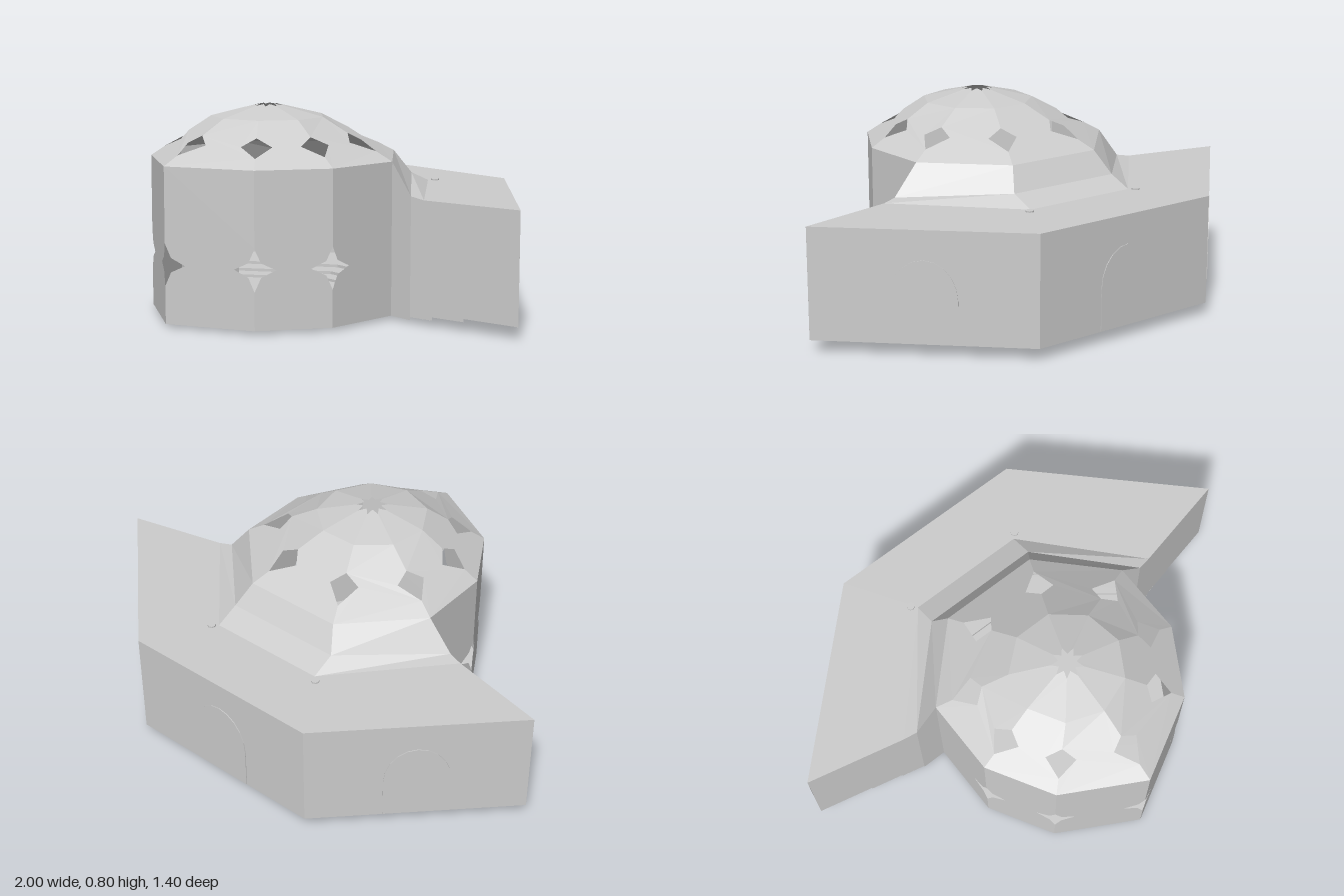
import * as THREE from 'three';
import { mergeGeometries } from 'three/addons/utils/BufferGeometryUtils.js';

const V = (x, y, z) => new THREE.Vector3(x, y, z);
const mirror = (p) => V(-p.x, p.y, p.z);

// Flat polygon from a loop of points, counter-clockwise seen from outside
function face(loop) {
  const n = V(0, 0, 0);
  loop.forEach((p, i) => n.add(p.clone().cross(loop[(i + 1) % loop.length])));
  n.normalize();
  const u = V(0, 1, 0).cross(n);
  if (u.length() < 0.01) u.set(1, 0, 0);
  u.addScaledVector(n, -u.dot(n)).normalize();
  const v = n.clone().cross(u);
  const flat = loop.map((p) => new THREE.Vector2(p.dot(u), p.dot(v)));
  const pts = THREE.ShapeUtils.triangulateShape(flat, []).flat().map((i) => loop[i]);
  const g = new THREE.BufferGeometry().setFromPoints(pts);
  g.computeVertexNormals();
  return g;
}

// Complete a right-hand path [[x, y, z], ...] with its mirrored left half
const around = (half) => {
  const right = half.map((p) => V(...p));
  return [...right, ...right.map(mirror).reverse()];
};

// Strip of quads between two paths
function band(outer, inner) {
  const faces = [];
  for (let i = 0; i < outer.length - 1; i++) {
    faces.push(face([outer[i], outer[i + 1], inner[i + 1], inner[i]]));
  }
  return faces;
}

const FLOOR = 0.012, ROOF = 0.47, EAVES = 0.6, WING_FLOOR = 0.047;

// Nine-cornered plan of the domed hall, starting at the front tip
const right = [[0.31, 0.53], [0.455, 0.28], [0.455, -0.02], [0.2, -0.28]];
const plan = [[0, 0.7], ...right, ...right.map(([x, z]) => [-x, z]).reverse()];
const at = (i, y) => V(plan[i % 9][0], y, plan[i % 9][1]);
const ring = (i, r, y) => {
  const a = (i * Math.PI * 2) / 9;
  return V(Math.sin(a) * r, y, 0.2 + Math.cos(a) * r);
};

// Half of a four-pointed star, cut into a wall beside its corner
const halfStar = [[0, 0.155], [0.024, 0.208], [0.08, 0.235], [0.024, 0.262], [0, 0.315]];
function hallWall(i) {
  const a = at(i, 0), b = at(i + 1, 0);
  const dir = b.clone().sub(a).normalize();
  const cut = (corner, sign) => halfStar.map(([d, y]) =>
    V(corner.x + dir.x * d * sign, y, corner.z + dir.z * d * sign));
  const hasStar = (k) => [0, 1, 2, 7, 8].includes(k % 9);
  return face([
    at(i, FLOOR), at(i + 1, FLOOR),
    ...(hasStar(i + 1) ? cut(b, -1) : []),
    at(i + 1, EAVES), at(i, EAVES),
    ...(hasStar(i) ? cut(a, 1).reverse() : []),
  ]);
}

// Dome panel with half a diamond window on each rib
function domePanel(i) {
  const a = at(i, EAVES), b = at(i + 1, EAVES);
  const c = ring(i + 1, 0.22, 0.755), d = ring(i, 0.22, 0.755);
  const left = (t) => a.clone().lerp(d, t), rightRib = (t) => b.clone().lerp(c, t);
  const l = left(0.45), r = rightRib(0.45), k = 0.06 / l.distanceTo(r);
  return face([
    a, b, rightRib(0.23), r.clone().lerp(l, k), rightRib(0.64), c,
    d, left(0.64), l.clone().lerp(r, k), left(0.23),
  ]);
}

// Cap panel leaving a star-shaped opening at the crown
const capPanel = (i) => face([
  ring(i, 0.22, 0.755), ring(i + 1, 0.22, 0.755),
  ring(i + 1, 0.062, 0.794), ring(i + 0.5, 0.035, 0.8), ring(i, 0.062, 0.794),
]);

export function createModel() {
  const group = new THREE.Group();
  const stone = new THREE.MeshStandardMaterial({
    color: 0xcccccc, flatShading: true, side: THREE.DoubleSide,
  });
  stone.name = 'pale stone';
  const add = (name, geometry) => {
    const mesh = new THREE.Mesh(Array.isArray(geometry) ? mergeGeometries(geometry) : geometry, stone);
    mesh.name = name;
    group.add(mesh);
    return mesh;
  };
  const nine = [...Array(9).keys()];

  add('hallWalls', [0, 1, 2, 6, 7, 8].map(hallWall));
  add('dome', nine.map(domePanel));
  add('domeCap', nine.map(capPanel));

  // Sloping skirt from the dome down to the flat roof
  const eaves = around([[0.455, EAVES, -0.02], [0.2, EAVES, -0.28]]);
  const skirt = around([[0.555, 0.48, -0.02], [0.24, 0.51, -0.34]]);
  const foot = around([[0.61, ROOF, -0.032], [0.24, ROOF, -0.435]]);
  const edge = (y) => around([[1, y, -0.12], [0.41, y, -0.7]]);
  add('domeSkirt', [...band(skirt, eaves), ...band(foot, skirt)]);
  add('wingRoof', band(edge(ROOF), foot));
  add('wingBackWalls', band(edge(WING_FLOOR), edge(ROOF)));

  // Front walls of the wings, with a stepped lower edge
  const shoulder = [[0.455, FLOOR], [0.555, FLOOR], [0.555, 0.48], [0.455, EAVES]]
    .map(([x, y]) => V(x, y, -0.02));
  const wing = [
    [0.555, 0.023], [0.65, 0.023], [0.65, 0.035], [0.78, 0.035], [0.78, WING_FLOOR],
    [1, WING_FLOOR], [1, ROOF], [0.61, ROOF], [0.555, 0.48],
  ].map(([x, y]) => V(x, y, -0.02 - (x - 0.555) * 0.225));
  add('wingFrontWalls', [shoulder, wing].flatMap((loop) =>
    [face(loop), face(loop.map(mirror).reverse())]));

  // Hall floor and the steps rising to the wings
  const hallFloor = [
    ...plan.slice(0, 4), [0.555, -0.02], plan[4], plan[5], [-0.555, -0.02], ...plan.slice(6),
  ].map(([x, z]) => V(x, FLOOR, z));
  add('hallFloor', face(hallFloor.reverse()));
  const lines = [
    [[0.555, -0.02], [0.2, -0.28]], [[0.65, -0.041], [0.245, -0.35]],
    [[0.78, -0.071], [0.29, -0.43]], [[1, -0.12], [0.41, -0.7]],
  ];
  const levels = [FLOOR, 0.023, 0.035, WING_FLOOR];
  const line = (i, y) => around(lines[i].map(([x, z]) => [x, y, z]));
  const steps = [];
  for (let i = 0; i < 3; i++) {
    const y = levels[i + 1];
    steps.push(...band(line(i, levels[i]), line(i, y)));
    steps.push(...band(line(i, y), line(i + 1, y)));
  }
  add('floorSteps', steps);

  // Round basin under the hall floor
  add('basin', new THREE.CylinderGeometry(0.187, 0.187, FLOOR, 14)).position.set(0, FLOOR / 2, 0.18);

  // Arched panels in the three back walls
  const arch = new THREE.Shape();
  arch.moveTo(-0.125, 0);
  arch.lineTo(0.125, 0);
  arch.lineTo(0.125, 0.16);
  arch.absellipse(0, 0.16, 0.125, 0.15, 0, Math.PI, false);
  const archGeometry = new THREE.ExtrudeGeometry(arch, { depth: 0.003, bevelEnabled: false, curveSegments: 5 });
  for (const [x, z, nx, nz] of [[0, -0.7, 0, -1], [0.705, -0.41, 0.58, -0.59], [-0.705, -0.41, -0.58, -0.59]]) {
    const panel = add('archPanel', archGeometry);
    panel.position.set(x, 0.05, z);
    panel.rotation.y = Math.atan2(nx, nz);
  }

  // Small roof lights
  for (const x of [-0.26, 0.26]) {
    add('roofLight', new THREE.CylinderGeometry(0.016, 0.016, 0.008, 8)).position.set(x, ROOF + 0.002, -0.455);
  }
  return group;
}
